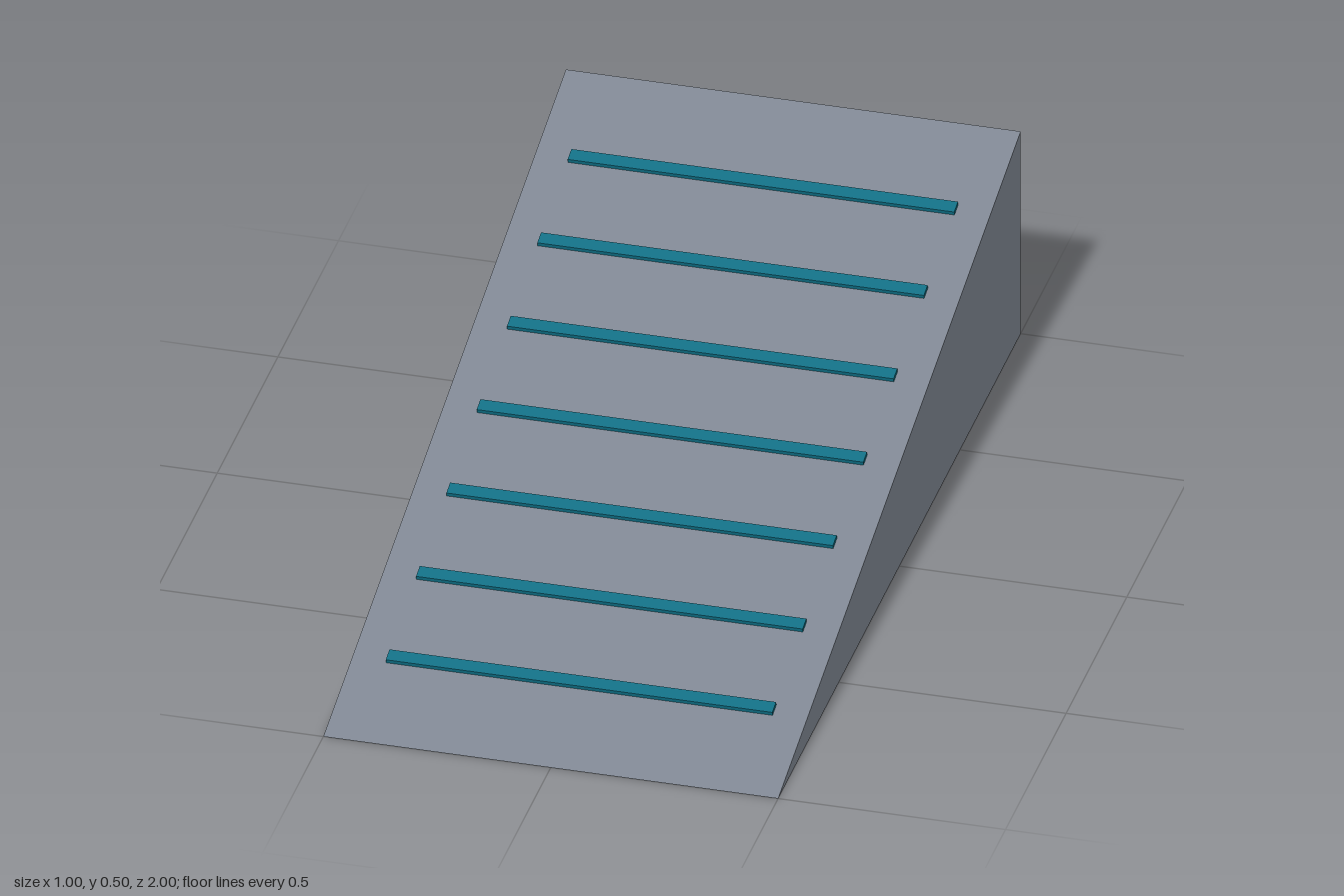
import * as THREE from 'three';

const WIDTH = 1, LENGTH = 2, HEIGHT = 0.5;

export function createModel() {
  const group = new THREE.Group();
  group.name = 'ramp';

  const slate = new THREE.MeshStandardMaterial({ color: 0x7f8793 });
  slate.name = 'slate grey';
  const teal = new THREE.MeshStandardMaterial({ color: 0x0e6f85 });
  teal.name = 'teal';

  // Wedge: side profile (shape x = -z) extruded across the width
  const profile = new THREE.Shape();
  profile.moveTo(-LENGTH / 2, 0);
  profile.lineTo(LENGTH / 2, 0);
  profile.lineTo(LENGTH / 2, HEIGHT);
  profile.closePath();
  const wedgeGeometry = new THREE.ExtrudeGeometry(profile, { depth: WIDTH, bevelEnabled: false });
  wedgeGeometry.translate(0, 0, -WIDTH / 2);
  wedgeGeometry.rotateY(Math.PI / 2);
  const wedge = new THREE.Mesh(wedgeGeometry, slate);
  wedge.name = 'wedge';
  group.add(wedge);

  // Grip strips, evenly spaced and lying along the slope
  const slope = Math.atan2(HEIGHT, LENGTH);
  const stripGeometry = new THREE.BoxGeometry(0.85, 0.01, 0.032);
  for (let i = 1; i <= 7; i++) {
    const t = i / 8;
    const strip = new THREE.Mesh(stripGeometry, teal);
    strip.name = `gripStrip${i}`;
    strip.position.set(0, HEIGHT * t + 0.004, LENGTH / 2 - LENGTH * t);
    strip.rotation.x = slope;
    group.add(strip);
  }

  return group;
}
